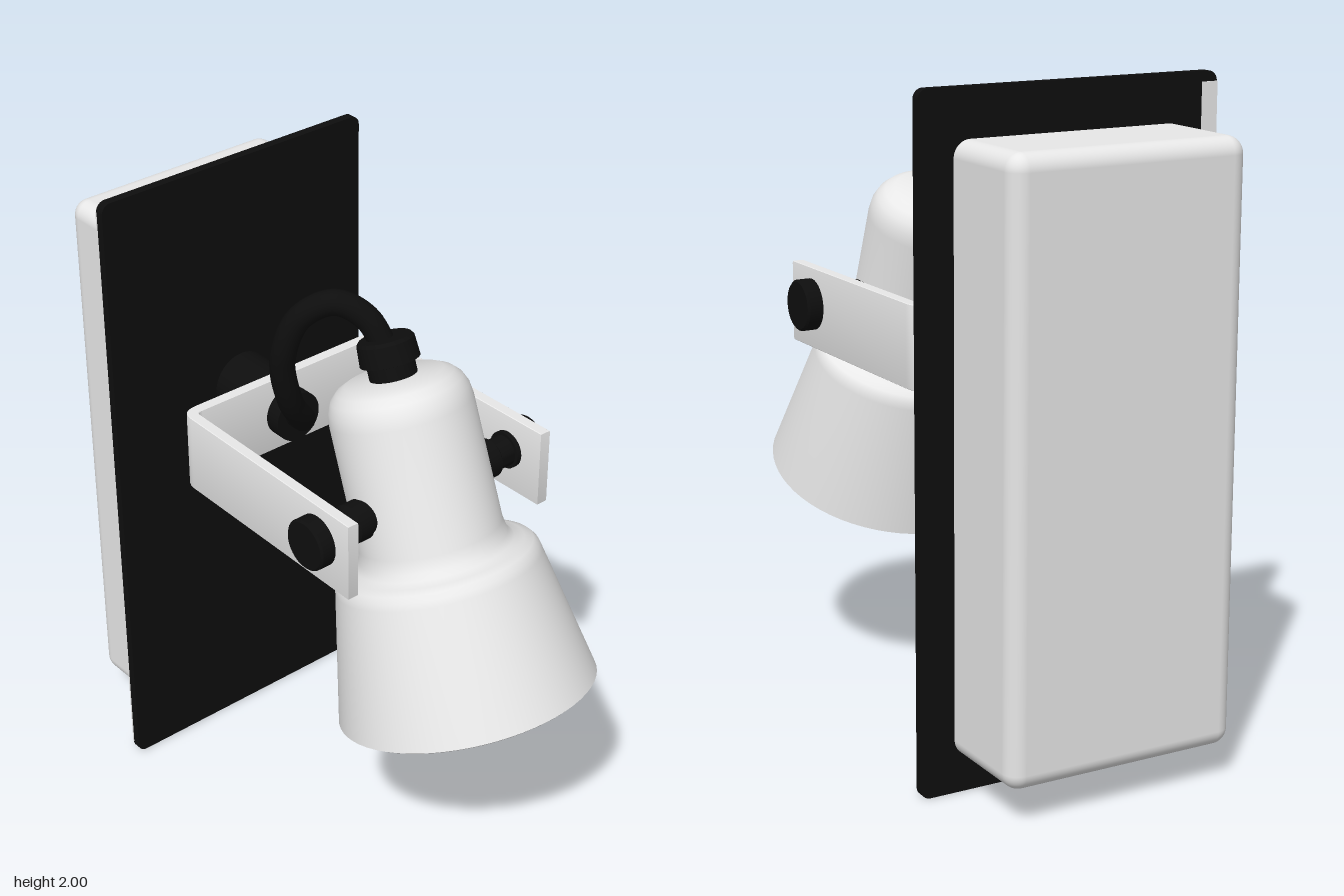
import * as THREE from 'three';
import { toCreasedNormals } from 'three/addons/utils/BufferGeometryUtils.js';
import { RoundedBoxGeometry } from 'three/addons/geometries/RoundedBoxGeometry.js';

const mat = (name, color) => Object.assign(new THREE.MeshStandardMaterial({ color }), { name });

function add(parent, name, geometry, material, x = 0, y = 0, z = 0) {
  const mesh = new THREE.Mesh(geometry, material);
  mesh.name = name;
  mesh.position.set(x, y, z);
  parent.add(mesh);
  return mesh;
}

const lathe = (pts, seg = 64) =>
  toCreasedNormals(new THREE.LatheGeometry(pts.map(p => new THREE.Vector2(...p)), seg), 0.6);

function roundedRect(w, h, r) {
  const s = new THREE.Shape();
  s.absarc(w / 2 - r, h / 2 - r, r, 0, Math.PI / 2);
  s.absarc(-w / 2 + r, h / 2 - r, r, Math.PI / 2, Math.PI);
  s.absarc(-w / 2 + r, -h / 2 + r, r, Math.PI, Math.PI * 1.5);
  s.absarc(w / 2 - r, -h / 2 + r, r, Math.PI * 1.5, Math.PI * 2);
  return s;
}

export function createModel() {
  const white = mat('white enamel', 0xe8e8e8);
  const black = mat('black plastic', 0x0e0e0e);
  const grey = mat('grey glass', 0x555555);
  const root = new THREE.Group();
  root.name = 'wallSpotlight';

  // Wall plate with a pale strip along the back of one edge
  add(root, 'wallPlate', new THREE.ExtrudeGeometry(roundedRect(0.95, 2, 0.03),
    { depth: 0.028, bevelEnabled: false }), black, 0, 1, -0.57);
  add(root, 'plateEdgeStrip', new THREE.BoxGeometry(0.05, 1.94, 0.006), white, -0.45, 1, -0.571);

  // Rounded housing, cut flat where it meets the plate
  const housing = new RoundedBoxGeometry(0.735, 1.75, 0.365, 6, 0.05);
  const hp = housing.attributes.position;
  for (let i = 0; i < hp.count; i++) hp.setZ(i, Math.min(hp.getZ(i), 0.1325));
  add(root, 'housing', housing, white, 0, 0.985, -0.7025);

  // Stem from the plate to the bracket, and the cable grommet inside it
  const rod = (r, l) => new THREE.CylinderGeometry(r, r, l, 40).rotateX(Math.PI / 2);
  add(root, 'stem', rod(0.1, 0.2), black, 0, 1.245, -0.45);
  add(root, 'grommet', rod(0.08, 0.06), black, 0, 1.245, -0.295);

  // U-shaped bracket, drawn from above and extruded upwards
  const u = new THREE.Shape();
  const o = 0.38, i = 0.35, back = 0.35, front = -0.42, r = 0.05;
  u.moveTo(-o, front);
  u.lineTo(-o + 0.01, back - r);
  u.quadraticCurveTo(-o + 0.01, back, -o + 0.01 + r, back);
  u.lineTo(o - 0.01 - r, back);
  u.quadraticCurveTo(o - 0.01, back, o - 0.01, back - r);
  u.lineTo(o, front);
  u.lineTo(i, front);
  u.lineTo(i - 0.01, back - r);
  u.quadraticCurveTo(i - 0.01, back - 0.03, i - 0.01 - 0.02, back - 0.03);
  u.lineTo(-i + 0.03, back - 0.03);
  u.quadraticCurveTo(-i + 0.01, back - 0.03, -i + 0.01, back - r);
  u.lineTo(-i, front);
  u.closePath();
  const bracket = new THREE.ExtrudeGeometry(u, { depth: 0.235, curveSegments: 8,
    bevelSize: 0.003, bevelThickness: 0.006, bevelSegments: 2 }).rotateX(-Math.PI / 2);
  add(root, 'bracket', toCreasedNormals(bracket, 0.6), white, 0, 1.13, 0);

  // Pivot axles and knobs on both sides
  const pivot = lathe([[0, 0.19], [0.052, 0.19], [0.052, 0.225], [0.06, 0.225], [0.06, 0.27],
    [0.048, 0.28], [0.048, 0.33], [0.058, 0.33], [0.058, 0.35], [0.045, 0.35], [0.045, 0.382],
    [0.078, 0.382], [0.078, 0.425], [0.072, 0.431], [0, 0.431]], 32);
  for (const side of [-1, 1]) {
    const knob = add(root, side > 0 ? 'leftPivot' : 'rightPivot', pivot, black, 0, 1.26, 0.29);
    knob.rotation.z = -side * Math.PI / 2;
  }

  // Tilted lamp head, its axis running from the rim up to the cable collar
  const head = new THREE.Group();
  head.name = 'lampHead';
  head.position.set(0, 0.65, 0.515);
  head.rotation.x = -0.354;
  root.add(head);
  add(head, 'shade', lathe([[0.255, 0.1], [0.335, 0.1], [0.378, 0.004], [0.384, 0], [0.39, 0.004],
    [0.308, 0.405], [0.303, 0.425], [0.29, 0.442], [0.265, 0.452], [0.237, 0.462], [0.222, 0.48],
    [0.215, 0.52], [0.211, 0.9], [0.206, 0.935], [0.193, 0.963], [0.172, 0.984],
    [0.145, 0.997], [0, 1.003]]), white);
  add(head, 'lensRing', new THREE.TorusGeometry(0.287, 0.018, 10, 64).rotateX(Math.PI / 2), white, 0, 0.088, 0);
  add(head, 'lensGap', new THREE.CylinderGeometry(0.318, 0.318, 0.006, 64), black, 0, 0.1, 0);
  add(head, 'lens', new THREE.CylinderGeometry(0.272, 0.272, 0.01, 64), grey, 0, 0.088, 0);
  add(head, 'cableCollar', lathe([[0.07, 0.98], [0.07, 1.04], [0.088, 1.045], [0.084, 1.105],
    [0.076, 1.115], [0, 1.115]], 32), black);

  // Looping cable from the collar down to the bracket
  const path = new THREE.CatmullRomCurve3([
    [0, 1.66, 0.135], [-0.03, 1.75, 0.085], [-0.09, 1.793, 0.02], [-0.16, 1.74, -0.05],
    [-0.19, 1.6, -0.095], [-0.14, 1.42, -0.125], [-0.05, 1.3, -0.18], [0, 1.25, -0.28],
  ].map(p => new THREE.Vector3(...p)));
  add(root, 'cable', new THREE.TubeGeometry(path, 80, 0.038, 14), black);

  return root;
}
